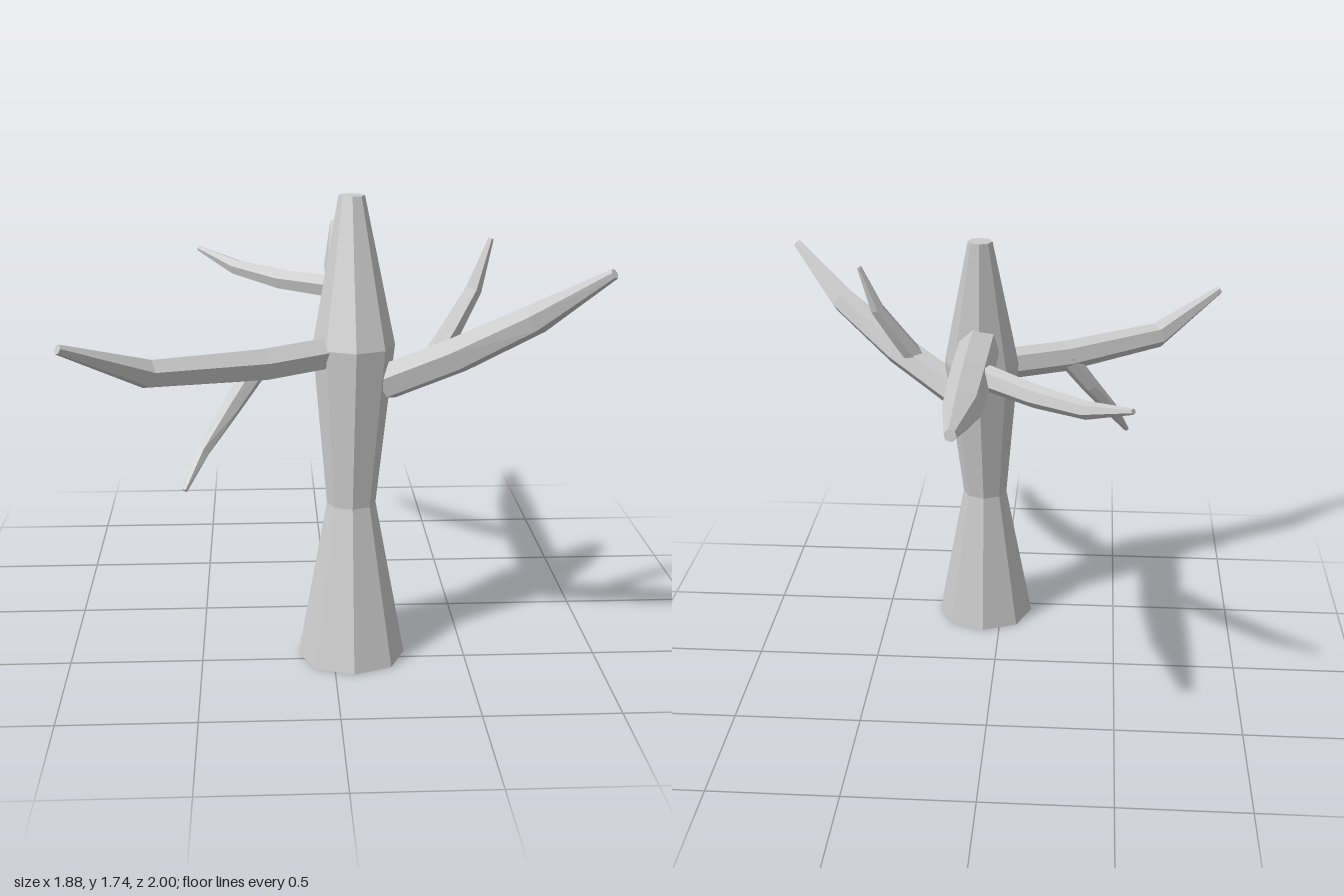
import * as THREE from 'three';

const UP = new THREE.Vector3(0, 1, 0);

// Skins a row of polygon rings [x, y, z, radius] and caps both ends.
// Rings lie flat when level is true, otherwise they turn to follow the path.
function loft(name, rings, sides, twist, level, material) {
  const centres = rings.map(r => new THREE.Vector3(r[0], r[1], r[2]));
  const last = rings.length - 1;
  const corners = rings.map((r, i) => {
    const dir = UP.clone();
    if (!level) {
      const before = centres[i].clone().sub(centres[Math.max(i - 1, 0)]).normalize();
      const after = centres[Math.min(i + 1, last)].clone().sub(centres[i]).normalize();
      dir.copy(before).add(after).normalize();
    }
    const side = level ? new THREE.Vector3(1, 0, 0) : dir.clone().cross(UP).normalize();
    const top = side.clone().cross(dir);
    return Array.from({ length: sides }, (_, k) => {
      const a = twist + (k / sides) * Math.PI * 2;
      return centres[i].clone()
        .addScaledVector(top, Math.cos(a) * r[3])
        .addScaledVector(side, Math.sin(a) * r[3]);
    });
  });

  const points = [];
  for (let k = 0; k < sides; k++) {
    const n = (k + 1) % sides;
    for (let i = 0; i < last; i++) {
      const a = corners[i][k], b = corners[i][n], c = corners[i + 1][n], d = corners[i + 1][k];
      points.push(a, b, c, a, c, d);
    }
    points.push(centres[0], corners[0][n], corners[0][k]);
    points.push(centres[last], corners[last][k], corners[last][n]);
  }
  const geometry = new THREE.BufferGeometry().setFromPoints(points);
  geometry.computeVertexNormals();
  const mesh = new THREE.Mesh(geometry, material);
  mesh.name = name;
  return mesh;
}

export function createModel() {
  const tree = new THREE.Group();
  tree.name = 'bareTree';
  const bark = new THREE.MeshStandardMaterial({ color: 0xcccccc, flatShading: true });

  // Trunk: eight sides, narrow waist, swollen crown, leaning back
  tree.add(loft('trunk', [
    [0.07, 0, 0.447, 0.203],
    [0.07, 0.6, 0.41, 0.092],
    [0.08, 1.2, 0.367, 0.153],
    [0.076, 1.74, 0.265, 0.049],
  ], 8, 0, true, bark));

  // Six-sided boughs, each with one thinner twig
  const limbs = [
    ['backBough', 15, [
      [0.08, 1.307, 0.25, 0.084], [0.086, 1.308, -0.13, 0.082],
      [0.08, 1.347, -0.55, 0.072], [0.078, 1.436, -1, 0.022]]],
    ['backTwig', -15, [
      [0.02, 1.32, -0.14, 0.05], [-0.17, 1.315, -0.31, 0.044],
      [-0.36, 1.335, -0.49, 0.034], [-0.523, 1.392, -0.636, 0.011]]],
    ['rightBough', -15, [
      [-0.025, 1.18, 0.415, 0.064], [-0.26, 1.172, 0.545, 0.064],
      [-0.655, 1.2, 0.765, 0.054], [-0.928, 1.342, 0.982, 0.018]]],
    ['rightTwig', 15, [
      [-0.27, 1.17, 0.53, 0.042], [-0.37, 1.03, 0.58, 0.036],
      [-0.475, 0.885, 0.65, 0.027], [-0.538, 0.767, 0.738, 0.01]]],
    ['leftBough', 15, [
      [0.2, 1.065, 0.4, 0.07], [0.445, 1.195, 0.525, 0.068],
      [0.7, 1.36, 0.675, 0.056], [0.923, 1.553, 0.862, 0.019]]],
    ['leftTwig', 15, [
      [0.35, 1.15, 0.485, 0.044], [0.435, 1.28, 0.445, 0.038],
      [0.515, 1.41, 0.405, 0.03], [0.578, 1.594, 0.377, 0.01]]],
  ];
  for (const [name, twist, rings] of limbs) {
    tree.add(loft(name, rings, 6, THREE.MathUtils.degToRad(twist), false, bark));
  }
  return tree;
}
